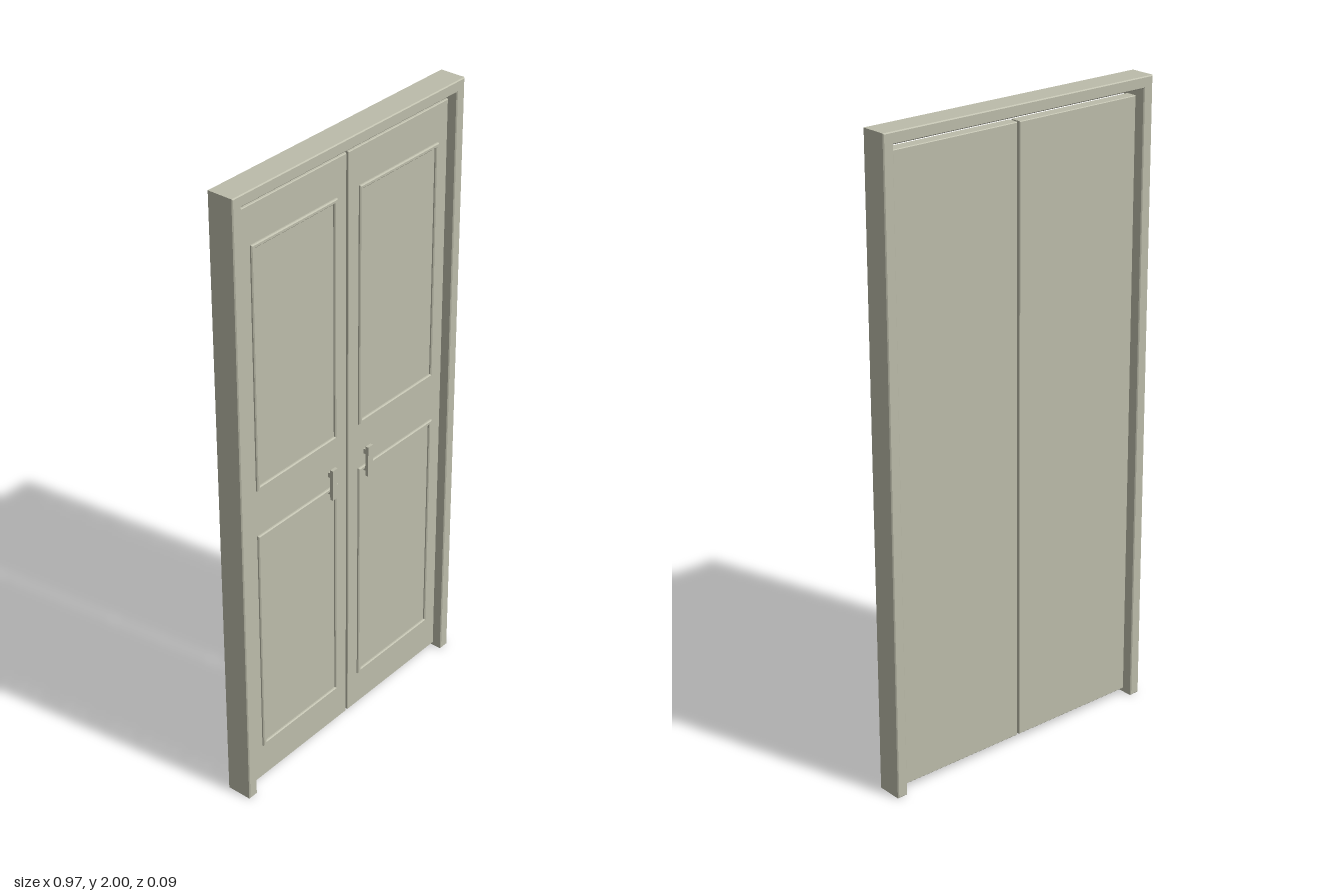
import * as THREE from 'three';

export function createModel() {
  const root = new THREE.Group();
  root.name = 'doubleDoor';
  const paint = new THREE.MeshStandardMaterial({ color: 0xbcbcaa });
  paint.name = 'stone grey paint';

  const add = (parent, name, geometry, x = 0, y = 0, z = 0) => {
    const mesh = new THREE.Mesh(geometry, paint);
    mesh.name = name;
    mesh.position.set(x, y, z);
    parent.add(mesh);
    return mesh;
  };

  // extrude a shape between z0 and z1 with a small chamfer kept inside its outline
  const slab = (shape, z0, z1, bevel) =>
    new THREE.ExtrudeGeometry(shape, {
      depth: z1 - z0 - 2 * bevel, bevelEnabled: true, bevelSegments: 1,
      bevelSize: bevel, bevelThickness: bevel, bevelOffset: -bevel,
    }).translate(0, 0, z0 + bevel);

  const rect = (Type, x0, y0, x1, y1) =>
    new Type([[x0, y0], [x1, y0], [x1, y1], [x0, y1]].map(p => new THREE.Vector2(...p)));

  // door frame: two jambs and a head, open at the floor
  const outline = [[-0.486, 0], [-0.452, 0], [-0.452, 1.965], [0.452, 1.965],
    [0.452, 0], [0.486, 0], [0.486, 2], [-0.486, 2]];
  add(root, 'frame', slab(new THREE.Shape(outline.map(p => new THREE.Vector2(...p))), -0.043, 0.043, 0.003));

  // leaves, mirrored about the centre gap
  const front = 0.019;
  for (const side of [-1, 1]) {
    const leaf = new THREE.Group();
    leaf.name = side > 0 ? 'leftLeaf' : 'rightLeaf';
    root.add(leaf);
    const span = (a, b) => (side > 0 ? [a, b] : [-b, -a]);

    const [l0, l1] = span(0.004, 0.443);
    add(leaf, 'leafBoard', slab(rect(THREE.Shape, l0, 0.02, l1, 1.943), -front, front, 0.002));

    // raised mouldings around the upper and lower panels
    const [p0, p1] = span(0.048, 0.398);
    for (const [name, y0, y1] of [['upperMoulding', 1.058, 1.827], ['lowerMoulding', 0.138, 0.905]]) {
      const w = 0.013;
      const ring = rect(THREE.Shape, p0, y0, p1, y1);
      ring.holes.push(rect(THREE.Path, p0 + w, y0 + w, p1 - w, y1 - w));
      add(leaf, name, slab(ring, front - 0.004, front + 0.007, 0.003));
    }

    // pull handle: upright grip on two short posts
    const handle = new THREE.Group();
    handle.name = 'handle';
    handle.position.x = side * 0.081;
    leaf.add(handle);
    add(handle, 'grip', new THREE.BoxGeometry(0.022, 0.102, 0.01), 0, 0.924, 0.036);
    for (const y of [0.895, 0.953])
      add(handle, 'post', new THREE.BoxGeometry(0.014, 0.016, 0.016), 0, y, 0.025);
  }
  return root;
}
